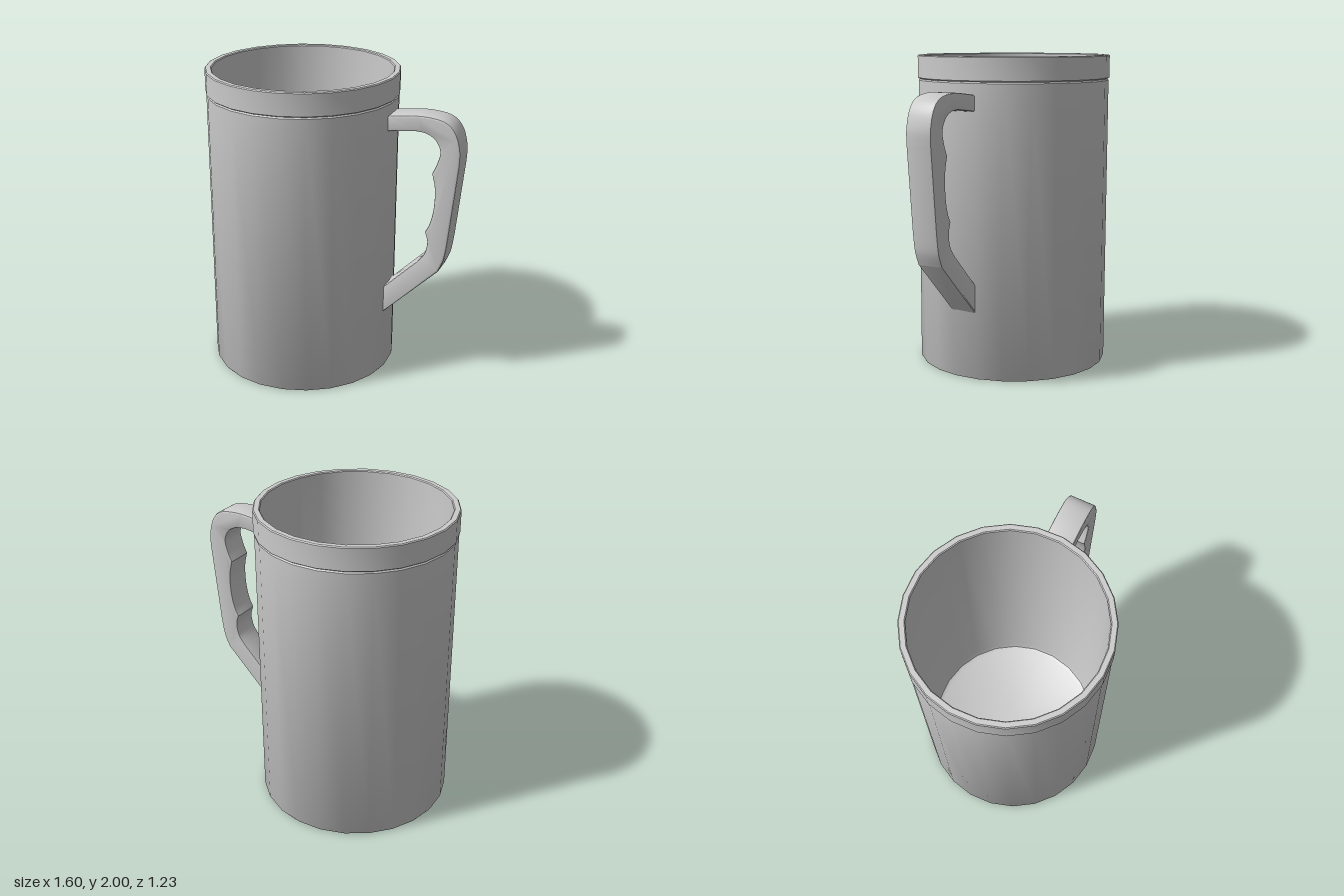
import * as THREE from 'three';
import { toCreasedNormals } from 'three/addons/utils/BufferGeometryUtils.js';

const material = new THREE.MeshStandardMaterial({ color: 0xcccccc });
const CENTRE_X = -0.19;
const HANDLE_ANGLE = THREE.MathUtils.degToRad(27.6);
const SIDES = 24;

const points = (list) => list.map(([x, y]) => new THREE.Vector2(x, y));

function addMesh(parent, name, geometry, crease) {
  const mesh = new THREE.Mesh(toCreasedNormals(geometry, crease), material);
  mesh.name = name;
  parent.add(mesh);
  return mesh;
}

// Cup wall, rim band, floor and recessed underside in one closed profile
function cupGeometry() {
  const profile = points([
    [0, 0.09], [0.575, 0.09], [0.58, 0.08], [0.585, 0.015], [0.595, 0],
    [0.609, 0], [0.615, 0.01], [0.615, 1.84], [0.608, 1.848],
    [0.62, 1.856], [0.62, 1.994], [0.614, 2], [0.583, 2], [0.577, 1.994],
    [0.572, 0.2], [0.562, 0.165], [0.535, 0.15], [0, 0.15],
  ]);
  return new THREE.LatheGeometry(profile, SIDES, Math.PI / SIDES);
}

// Handle outline: x is the distance from the cup axis, y is the height
function handleGeometry() {
  const width = 0.175, bevel = 0.012;
  const shape = new THREE.Shape();
  shape.moveTo(0.59, 1.77);
  // outer edge, from the top root over the knuckle to the lower root
  shape.splineThru(points([
    [0.7, 1.785], [0.836, 1.795], [0.965, 1.775], [1.035, 1.71], [1.068, 1.6], [1.068, 1.5],
  ]));
  shape.lineTo(1.018, 0.99);
  shape.splineThru(points([[0.999, 0.87], [0.963, 0.78]]));
  shape.lineTo(0.59, 0.41);
  // inner edge with the finger grips
  shape.lineTo(0.59, 0.595);
  shape.lineTo(0.825, 0.83);
  shape.splineThru(points([[0.868, 0.89], [0.885, 0.97], [0.867, 1.04]]));
  shape.splineThru(points([[0.895, 1.1], [0.916, 1.2], [0.919, 1.33], [0.897, 1.435]]));
  shape.splineThru(points([[0.925, 1.5], [0.942, 1.58], [0.909, 1.65], [0.849, 1.685], [0.777, 1.693]]));
  shape.lineTo(0.59, 1.67);
  shape.closePath();

  const geometry = new THREE.ExtrudeGeometry(shape, {
    depth: width - 2 * bevel, curveSegments: 5,
    bevelEnabled: true, bevelSize: bevel, bevelThickness: bevel,
    bevelOffset: -bevel, bevelSegments: 2,
  });
  return geometry.translate(0, 0, bevel - width / 2);
}

export function createModel() {
  const mug = new THREE.Group();
  mug.name = 'mug';
  mug.position.x = CENTRE_X;
  addMesh(mug, 'cup', cupGeometry(), 0.6);
  addMesh(mug, 'handle', handleGeometry(), 0.6).rotation.y = HANDLE_ANGLE;

  const model = new THREE.Group();
  model.add(mug);
  return model;
}
